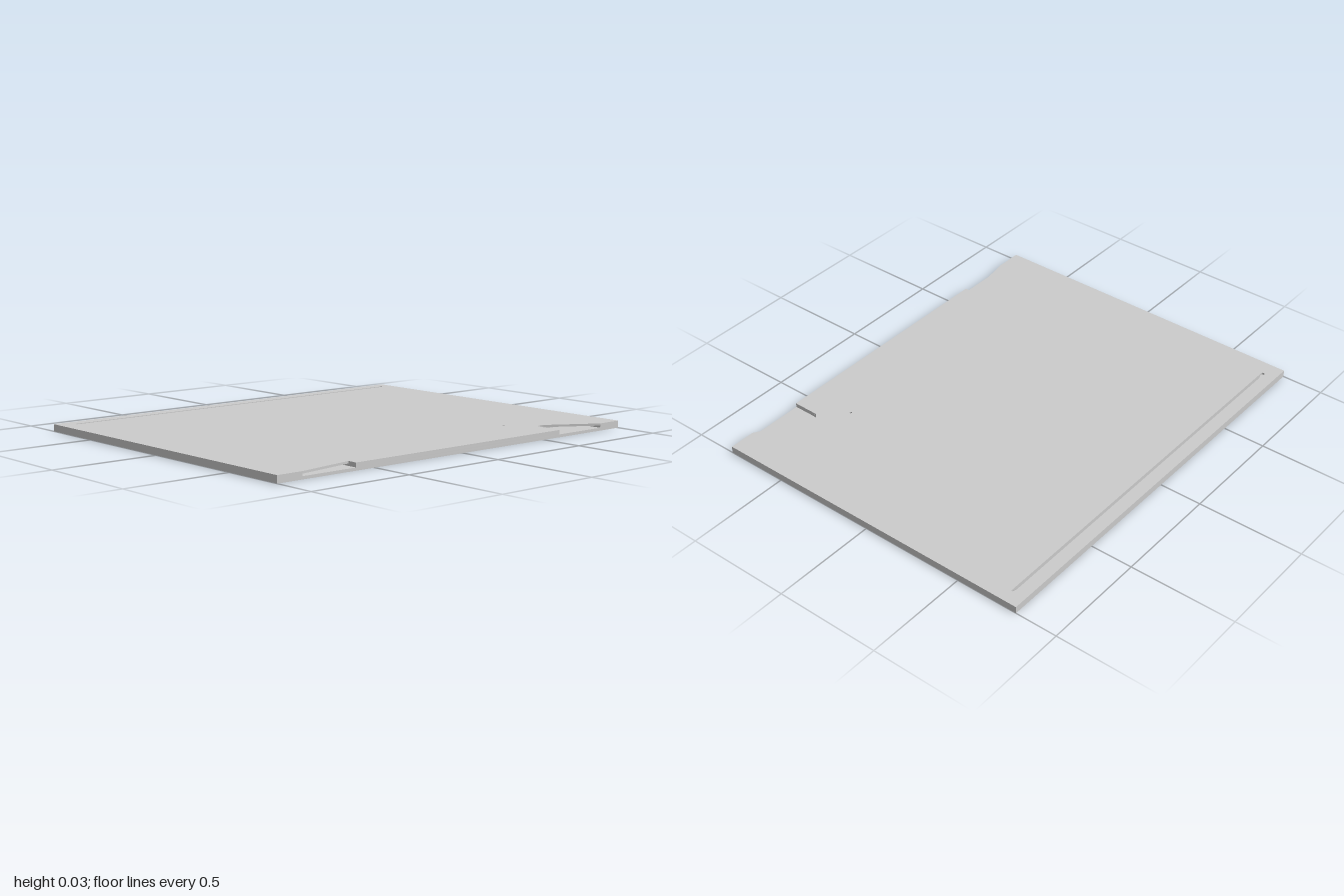
import * as THREE from 'three';

const material = new THREE.MeshStandardMaterial({ color: 0xcccccc, side: THREE.DoubleSide });
const TOP = 0.033, SHEET = 0.023, FLOOR = 0.013, BASE = 0.007, WALL = 0.014;

// Closed outline in (x, z); points are [x, z, cornerRadius]
function outline(points, Type = THREE.Shape) {
  const path = new Type();
  const n = points.length;
  const towards = (a, b, d) => {
    const v = new THREE.Vector2(b[0] - a[0], b[1] - a[1]).setLength(d);
    return [a[0] + v.x, a[1] + v.y];
  };
  points.forEach((p, i) => {
    const r = p[2] || 0;
    const start = r ? towards(p, points[(i + n - 1) % n], r) : p;
    if (i === 0) path.moveTo(start[0], start[1]);
    else path.lineTo(start[0], start[1]);
    if (r) path.quadraticCurveTo(p[0], p[1], ...towards(p, points[(i + 1) % n], r));
  });
  path.closePath();
  return path;
}

// Horizontal slab of an (x, z) shape between two heights
function slab(name, shape, y0, y1) {
  const geometry = new THREE.ExtrudeGeometry(shape, { depth: y1 - y0, bevelEnabled: false, curveSegments: 8 });
  geometry.rotateX(Math.PI / 2).translate(0, y1, 0);
  const mesh = new THREE.Mesh(geometry, material);
  mesh.name = name;
  return mesh;
}

function box(name, x0, x1, y0, y1, z0, z1) {
  const mesh = new THREE.Mesh(new THREE.BoxGeometry(x1 - x0, y1 - y0, z1 - z0), material);
  mesh.position.set((x0 + x1) / 2, (y0 + y1) / 2, (z0 + z1) / 2);
  mesh.name = name;
  return mesh;
}

// Channel loop that steps in around the two pockets, d = inset from its centre line
function loopPoints(d) {
  const xl = -0.735 + d, xn = 0.57 - d, xr = 0.74 - d, ze = 0.94 - d, zn = 0.52 - d, r = 0.035;
  return [[xl, -ze, r], [xn, -ze, r], [xn, -zn, r], [xr, -zn, r],
    [xr, zn, r], [xn, zn, r], [xn, ze, r], [xl, ze, r]];
}

function loopRing(name, outer, inner, y0, y1) {
  const shape = outline(loopPoints(outer));
  shape.holes.push(outline(loopPoints(inner), THREE.Path));
  return slab(name, shape, y0, y1);
}

// Pocket outline open to the +x edge, inset by d
function pocketPoints(s, d) {
  return [[0.8, s * (0.6 + d)], [0.65 + d, s * (0.6 + d), 0.045],
    [0.65 + d, s * (0.875 - d), 0.045], [0.8, s * (0.875 - d)]];
}

export function createModel() {
  const model = new THREE.Group();
  model.name = 'panel';

  // Top sheet with edge notches, a long slot and a pin hole
  const top = outline([[-0.8, -1], [0.8, -1], [0.8, -0.875], [0.65, -0.63, 0.025], [0.67, -0.6, 0.015],
    [0.8, -0.6], [0.8, 0.6], [0.755, 0.6], [0.8, 0.875], [0.8, 1], [-0.8, 1]]);
  top.holes.push(outline([[-0.743, -0.94, 0.007], [-0.727, -0.94, 0.007],
    [-0.727, 0.925, 0.007], [-0.743, 0.925, 0.007]], THREE.Path));
  const pin = new THREE.Path();
  pin.absarc(0.56, -0.495, 0.006, 0, Math.PI * 2);
  top.holes.push(pin);
  model.add(slab('topSheet', top, SHEET, TOP));

  // Perimeter rim
  const rim = new THREE.Group();
  rim.name = 'rim';
  rim.add(box('leftRim', -0.8, -0.8 + WALL, 0, SHEET, -1, 1));
  for (const s of [-1, 1]) {
    rim.add(box('endRim', -0.8 + WALL, 0.8 - WALL, 0, SHEET, s > 0 ? 1 - WALL : -1, s > 0 ? 1 : -1 + WALL));
  }
  rim.add(box('lowerSideRim', 0.8 - WALL, 0.8, 0, FLOOR, -1, 1));
  for (const [z0, z1] of [[-1, -0.875], [-0.6, 0.6], [0.875, 1]]) {
    rim.add(box('upperSideRim', 0.8 - WALL, 0.8, FLOOR, SHEET, z0, z1));
  }
  model.add(rim);

  // Channel pressed down below the sheet
  const channel = new THREE.Group();
  channel.name = 'channelLoop';
  channel.add(
    loopRing('channelFloor', -0.013, 0.013, BASE, FLOOR),
    loopRing('channelOuterWall', -0.013, -0.008, FLOOR, SHEET),
    loopRing('channelInnerWall', 0.008, 0.013, FLOOR, SHEET),
  );
  model.add(channel);

  // Two pockets recessed under the notched edge
  for (const s of [-1, 1]) {
    const pocket = new THREE.Group();
    pocket.name = s > 0 ? 'frontPocket' : 'backPocket';
    pocket.add(slab('pocketFloor', outline(pocketPoints(s, -0.004)), BASE, FLOOR));
    const wall = outline([...pocketPoints(s, -0.004), ...pocketPoints(s, 0).reverse()]);
    pocket.add(slab('pocketWall', wall, FLOOR, SHEET));
    model.add(pocket);
  }
  return model;
}
